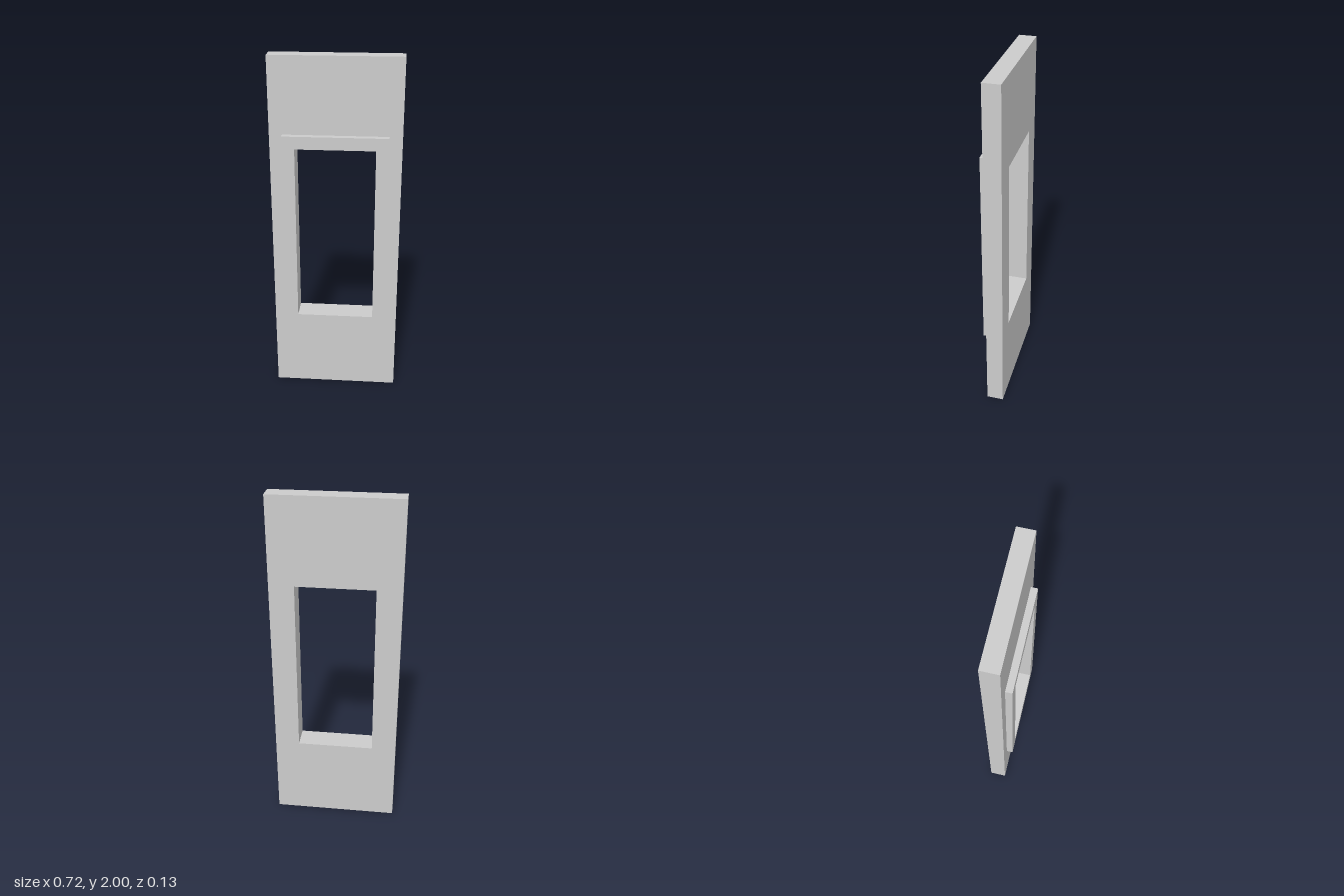
import * as THREE from 'three';

const OPENING = { halfWidth: 0.219, bottom: 0.49, top: 1.51 };

// Counter-clockwise rectangle, symmetric about x = 0
function rectangle(PathType, { halfWidth, bottom, top }) {
  return new PathType([
    new THREE.Vector2(-halfWidth, bottom),
    new THREE.Vector2(halfWidth, bottom),
    new THREE.Vector2(halfWidth, top),
    new THREE.Vector2(-halfWidth, top),
  ]);
}

// Upright slab pierced by the shared opening
function piercedSlab(name, outline, back, front, material) {
  const shape = rectangle(THREE.Shape, outline);
  shape.holes.push(rectangle(THREE.Path, OPENING));
  const geometry = new THREE.ExtrudeGeometry(shape, { depth: front - back, bevelEnabled: false });
  geometry.translate(0, 0, back);
  const mesh = new THREE.Mesh(geometry, material);
  mesh.name = name;
  return mesh;
}

export function createModel() {
  const material = new THREE.MeshStandardMaterial({ color: 0xcccccc });
  const group = new THREE.Group();
  group.name = 'wallWithWindow';

  // Tall wall panel
  group.add(piercedSlab('wallPanel', { halfWidth: 0.359, bottom: 0, top: 2 }, -0.067, 0.029, material));

  // Raised trim around the opening, on the front only
  group.add(piercedSlab('windowFrame', { halfWidth: 0.288, bottom: 0.42, top: 1.58 }, 0.029, 0.066, material));

  return group;
}
